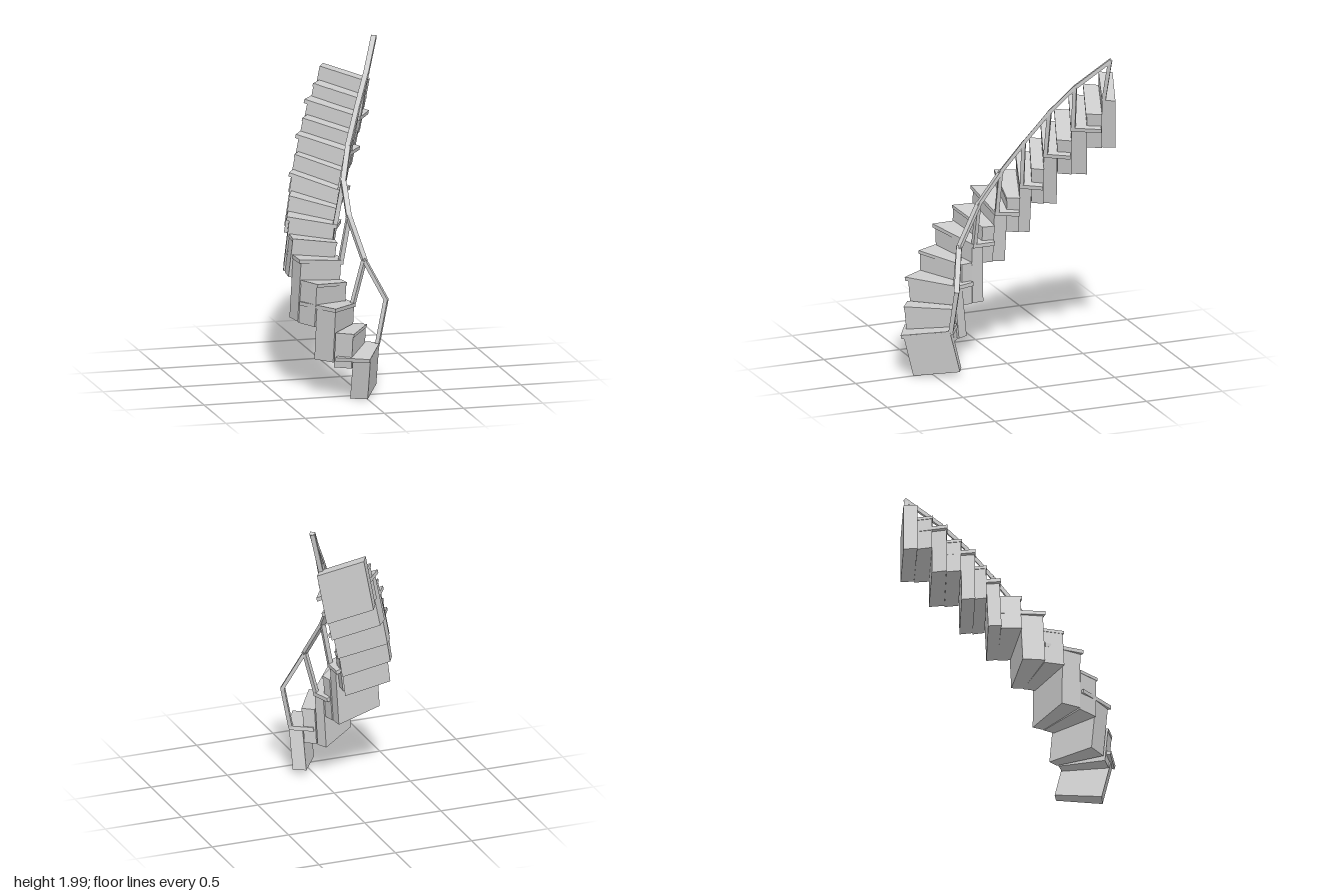
import * as THREE from 'three';

const V = (x, y, z) => new THREE.Vector3(x, y, z);
const curve = (pts) => new THREE.CatmullRomCurve3(pts.map((p) => V(...p)), false, 'catmullrom', 0.5);

// Inner and outer edges of the flight: one point per main step, at the step front
const inner = curve([
  [0.125, 0.30, 0.43], [-0.01, 0.54, 0.345], [-0.055, 0.78, 0.21], [-0.055, 0.97, 0.06], [0.01, 1.15, -0.08],
  [0.10, 1.36, -0.20], [0.20, 1.54, -0.34], [0.30, 1.72, -0.50], [0.38, 1.90, -0.64],
]);
const outer = curve([
  [0, 0.27, 0.685], [-0.19, 0.57, 0.575], [-0.34, 0.83, 0.33], [-0.345, 1.04, 0.08], [-0.26, 1.25, -0.17],
  [-0.18, 1.455, -0.30], [-0.085, 1.635, -0.445], [0.03, 1.81, -0.59], [0.11, 1.99, -0.74],
]);
// Depth of each block below its step, and how far its walls lean in x and z
const heights = [0.265, 0.34, 0.385, 0.33, 0.32, 0.34, 0.32, 0.32];
const leanX = [0, 0.02, 0.05, 0.12, 0.15, 0.17, 0.18, 0.17];
const leanZ = [0.25, 0.1, 0.03, 0, 0.02, 0.06, 0.08, 0.07];
const railNodes = [
  [0.175, 0.57, 0.405], [0.055, 0.81, 0.34], [0.0, 1.05, 0.19], [0.005, 1.24, 0.045],
  [0.07, 1.43, -0.08], [0.165, 1.64, -0.21], [0.255, 1.81, -0.34], [0.355, 1.985, -0.53],
].map((p) => V(...p));

// Six-sided solid from a counter-clockwise top ring and the matching bottom ring
function prism(top, bottom) {
  const pos = [];
  const quad = (a, b, c, d) => [a, b, c, a, c, d].forEach((p) => pos.push(p.x, p.y, p.z));
  quad(...top);
  quad(...[...bottom].reverse());
  for (let i = 0; i < 4; i++) {
    const j = (i + 1) % 4;
    quad(bottom[i], bottom[j], top[j], top[i]);
  }
  const g = new THREE.BufferGeometry();
  g.setAttribute('position', new THREE.Float32BufferAttribute(pos, 3));
  g.computeVertexNormals();
  return g;
}

// Step slice between stations s0 and s1, with its level taken at station sy
function ring(s0, s1, sy, over = 0) {
  const yi = inner.getPoint(sy / 8).y;
  const yo = outer.getPoint(sy / 8).y;
  const edge = (s) => {
    const i = inner.getPoint(s / 8).setY(yi);
    const o = outer.getPoint(s / 8).setY(yo);
    const d = i.clone().sub(o).multiplyScalar(over);
    return [i.add(d), o.sub(d)];
  };
  const [innerFront, outerFront] = edge(s0);
  const [innerBack, outerBack] = edge(s1);
  return [innerBack, outerBack, outerFront, innerFront];
}

export function createModel() {
  const model = new THREE.Group();
  const mat = new THREE.MeshStandardMaterial({ color: 0xcccccc, flatShading: true });
  const add = (geometry, name) => {
    const mesh = new THREE.Mesh(geometry, mat);
    mesh.name = name;
    model.add(mesh);
    return mesh;
  };

  // Square bar between two points
  const bar = (a, b, w, h, up, name) => {
    const mesh = add(new THREE.BoxGeometry(w, h, a.distanceTo(b)), name);
    mesh.position.copy(a).add(b).multiplyScalar(0.5);
    mesh.up.copy(up);
    mesh.lookAt(b);
  };

  // Solid hanging below a ring along the leaning up direction
  const slab = (top, up, h, name) => add(prism(top, top.map((p) => p.clone().addScaledVector(up, -h))), name);

  for (let k = 0; k < 8; k++) {
    const up = V(leanX[k], 1, leanZ[k]);

    // Main step block
    slab(ring(k, k + 0.5, k), up, heights[k], 'stepBlock');

    // Intermediate half step in front of the block
    if (k > 0) {
      const drop = inner.getPoint(k / 8).y - inner.getPoint((k - 0.5) / 8).y;
      slab(ring(k - 0.5, k, k - 0.5), up, heights[k] - drop, 'halfStepBlock');
      slab(ring(k - 0.53, k, k - 0.5, 0.01), up, 0.02, 'halfStepTread');
    }

    // Wide tread board running under the next half step
    if (k < 7) {
      const board = ring(k - (k ? 0.03 : 0), k + 0.97, k, 0.06).map((p) => p.setY(p.y + 0.004));
      slab(board, up, 0.024, 'treadBoard');
    }

    // Baluster on the inner edge
    const i = inner.getPoint(k / 8);
    const travel = inner.getTangent(k / 8).setY(0).normalize();
    const inward = i.clone().sub(outer.getPoint(k / 8)).setY(0).normalize();
    const foot = i.clone().addScaledVector(inward, k < 7 ? 0.005 : -0.015).addScaledVector(travel, 0.012);
    bar(foot, railNodes[k], 0.028, 0.024, travel, 'baluster');

    // Handrail section to the next baluster
    if (k < 7) {
      const dir = railNodes[k + 1].clone().sub(railNodes[k]).normalize().multiplyScalar(0.008);
      bar(railNodes[k].clone().sub(dir), railNodes[k + 1].clone().add(dir), 0.032, 0.022, V(0, 1, 0), 'handrail');
    }
  }
  return model;
}
